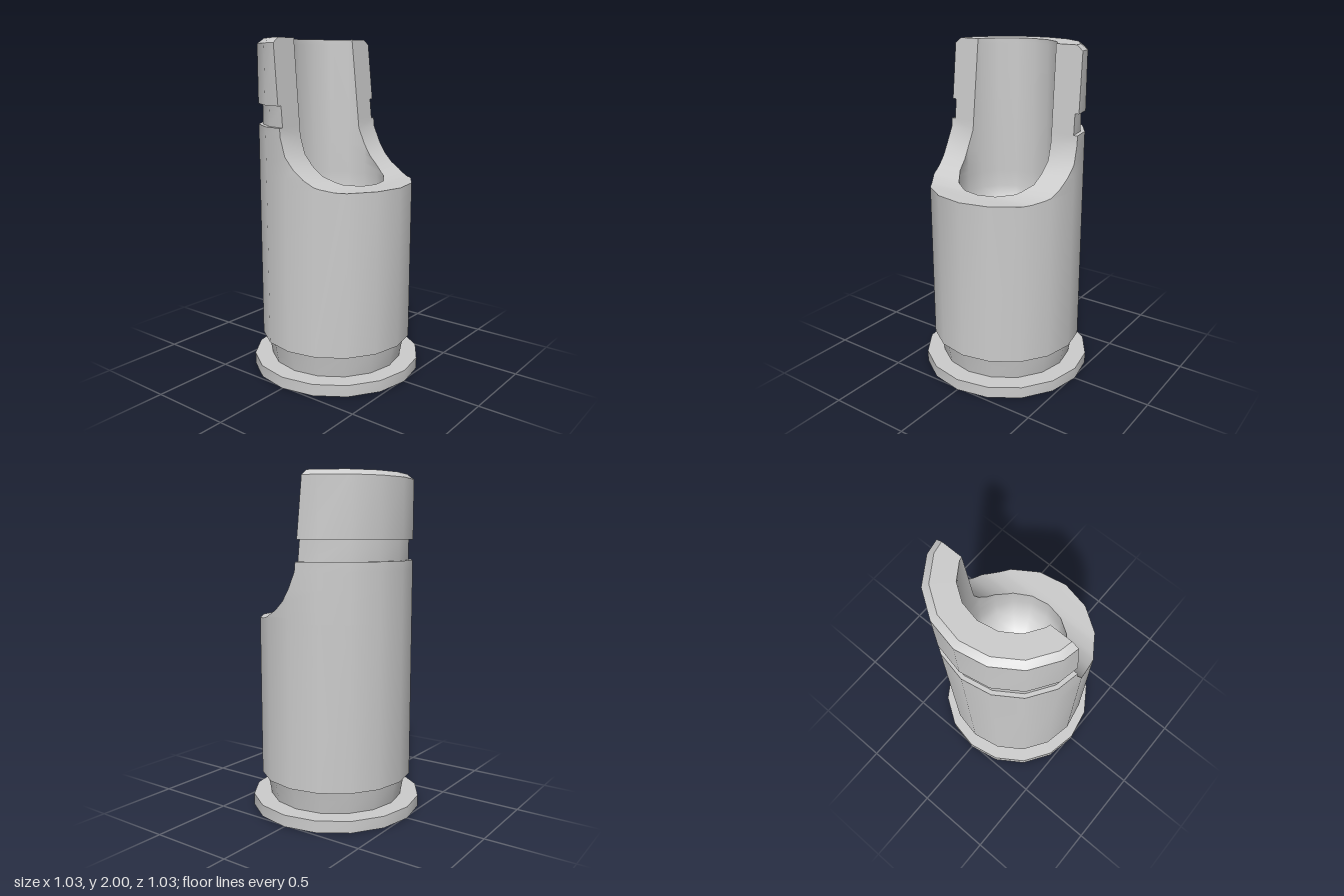
import * as THREE from 'three';
import { toCreasedNormals } from 'three/addons/utils/BufferGeometryUtils.js';

const SIDES = 16;
const BORE = 0.29;
const FULL = 9; // cut position that leaves a ring whole

// Cut edge of a 16-sided ring: the x where the ring meets the plane z = cut
function edgeX(R, cut) {
  for (let k = 0; k < SIDES / 2; k++) {
    const a = (k / SIDES) * Math.PI * 2, b = ((k + 1) / SIDES) * Math.PI * 2;
    const za = R * Math.cos(a), zb = R * Math.cos(b);
    if (za > cut && zb <= cut) {
      const t = (za - cut) / (za - zb);
      return R * (Math.sin(a) + t * (Math.sin(b) - Math.sin(a)));
    }
  }
  return 0;
}

// Ring at height y, with everything in front of z = cut pulled back to the cut edge
function ring({ y, R, cut }) {
  const pts = [];
  for (let k = 0; k <= SIDES; k++) {
    const a = (k / SIDES) * Math.PI * 2;
    const x = R * Math.sin(a), z = R * Math.cos(a);
    if (z > cut + 1e-6) pts.push(new THREE.Vector3((k < SIDES / 2 ? 1 : -1) * edgeX(R, cut), y, cut));
    else pts.push(new THREE.Vector3(Math.abs(x) < 1e-9 ? 0 : x, y, z));
  }
  return pts;
}

// Surface through rows of points, skipping collapsed triangles
function loft(rows, flip = false) {
  const pos = [];
  const tri = (a, b, c) => {
    const n = b.clone().sub(a).cross(c.clone().sub(a));
    if (n.length() < 1e-7) return;
    for (const p of flip ? [a, c, b] : [a, b, c]) pos.push(p.x, p.y, p.z);
  };
  for (let i = 0; i + 1 < rows.length; i++) {
    for (let k = 0; k + 1 < rows[i].length; k++) {
      tri(rows[i][k], rows[i][k + 1], rows[i + 1][k + 1]);
      tri(rows[i][k], rows[i + 1][k + 1], rows[i + 1][k]);
    }
  }
  const geo = new THREE.BufferGeometry();
  geo.setAttribute('position', new THREE.Float32BufferAttribute(pos, 3));
  return toCreasedNormals(geo, 0.6);
}

export function createModel() {
  const group = new THREE.Group();
  const mat = new THREE.MeshStandardMaterial({ color: 0xcccccc });
  const add = (name, geo) => {
    const mesh = new THREE.Mesh(geo, mat);
    mesh.name = name;
    group.add(mesh);
  };
  const turned = (profile) => loft(profile.map(([R, y]) => ring({ y, R, cut: FULL })));

  // Base rim and the tapered groove above it
  add('baseRim', turned([[0, 0], [0.515, 0], [0.515, 0.07], [0.4, 0.07]]));
  add('baseGroove', turned([[0.405, 0.07], [0.43, 0.21]]));

  // Cutaway path: flat lip, round fillet, then a slightly leaning straight cut
  const levels = [];
  for (const cut of [0.46, 0.425, 0.3253, 0.29, 0.268, 0.205, 0.176, 0.111, 0.05, 0]) {
    const y = cut > 0.32 ? 1.17 : 1.54 - Math.sqrt(0.37 ** 2 - (0.32 - cut) ** 2);
    levels.push({ y, R: 0.46, cut });
  }
  const upper = [[0.46, 1.455], [0.46, 1.51], [0.435, 1.51], [0.435, 1.63],
    [0.46, 1.63], [0.46, 1.97], [0.42, 2]];
  for (const [R, y] of upper) {
    levels.push({ y, R, cut: -0.04 - 0.05 * (y - 1.455) / 0.545 });
  }
  const top = levels[levels.length - 1];

  // Outer wall, with neck groove, top chamfer and top face
  add('outerWall', loft([
    { y: 0.21, R: 0.43, cut: FULL }, { y: 0.21, R: 0.46, cut: FULL },
    ...levels, { ...top, R: BORE },
  ].map(ring)));

  // Bore wall with a rounded floor
  const bore = [];
  for (let i = 0; i <= 5; i++) {
    const a = (i / 5) * Math.PI / 2;
    bore.push({ y: 1.07 - 0.24 * Math.cos(a), R: BORE * Math.sin(a), cut: FULL });
  }
  add('bore', loft([...bore, ...levels.map((l) => ({ ...l, R: BORE }))].map(ring), true));

  // Cut face between bore and outer wall, mirrored on both sides
  for (const side of [1, -1]) {
    const rows = levels.map(({ y, R, cut }) => [edgeX(BORE, cut), edgeX(R, cut)]
      .map((x) => new THREE.Vector3(side * x, y, cut)));
    add(side > 0 ? 'leftCutFace' : 'rightCutFace', loft(rows, side < 0));
  }
  return group;
}
